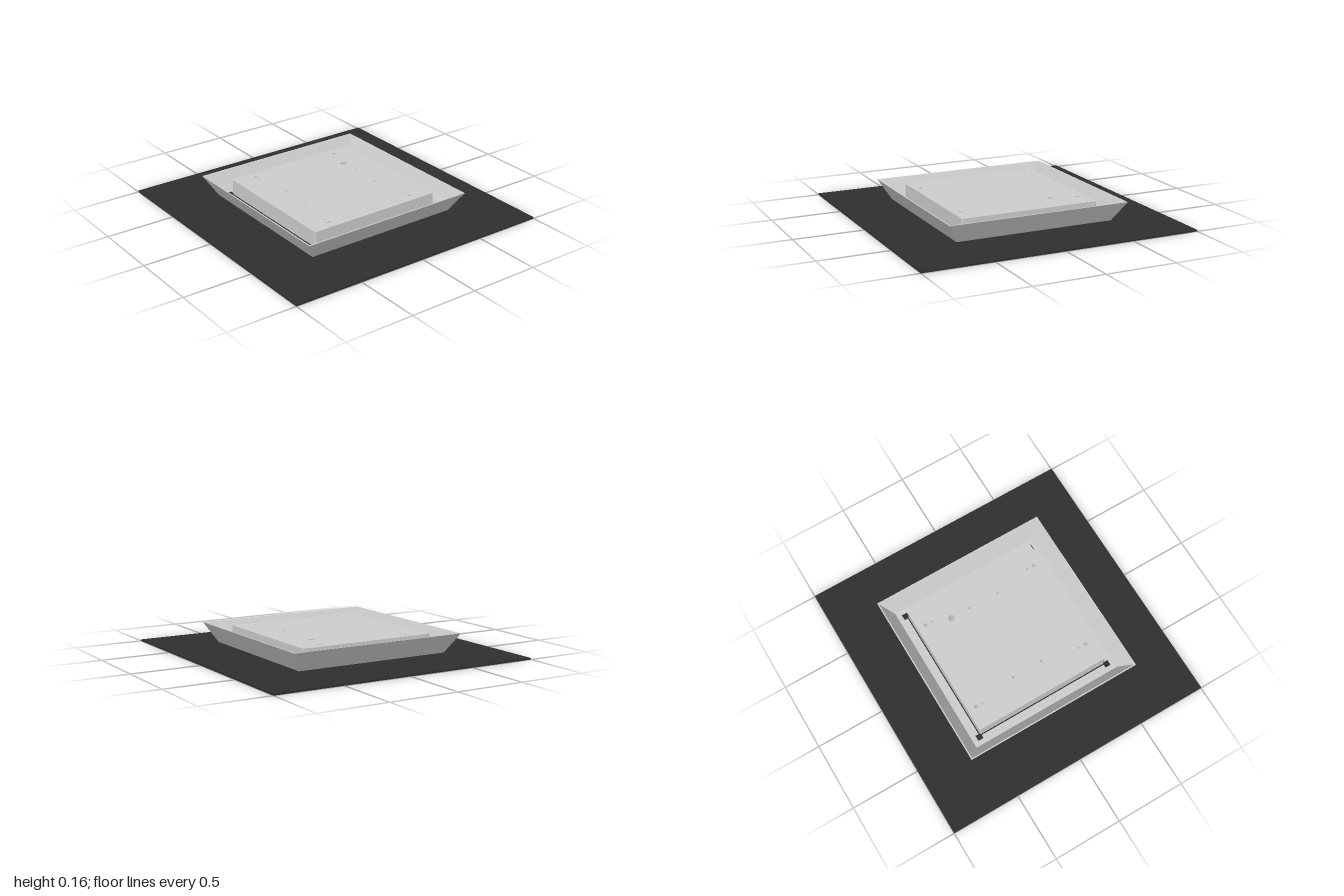
import * as THREE from 'three';

const light = new THREE.MeshStandardMaterial({ color: 0xcccccc });
light.name = 'lightGrey';
const dark = new THREE.MeshStandardMaterial({ color: 0x2e2e2e });
dark.name = 'charcoal';

// Outline of a square, optionally with rounded corners
function square(P, half, r = 0, cx = 0, cz = 0) {
  const p = new P();
  const corners = [[1, -1, 0], [1, 1, 1], [-1, 1, 2], [-1, -1, 3]];
  if (!r) return p.setFromPoints(corners.map(([x, z]) => new THREE.Vector2(cx + x * half, cz + z * half)));
  for (const [x, z, i] of corners) {
    const a = (i - 1) * Math.PI / 2;
    p.absarc(cx + x * (half - r), cz + z * (half - r), r, a, a + Math.PI / 2, false);
  }
  p.closePath();
  return p;
}

// Horizontal slab between two heights, with holes given in (x, -z)
function slab(name, material, half, y0, y1, holes = [], r = 0) {
  const shape = square(THREE.Shape, half, r);
  shape.holes.push(...holes);
  const g = new THREE.ExtrudeGeometry(shape, { depth: y1 - y0, bevelEnabled: false, curveSegments: 6 });
  g.rotateX(-Math.PI / 2).translate(0, y0, 0);
  const m = new THREE.Mesh(g, material);
  m.name = name;
  return m;
}

// Profile swept round a square, with flat sides; distances are half widths
function squareLathe(name, material, profile) {
  const pts = profile.map(([d, y]) => new THREE.Vector2(d * Math.SQRT2, y));
  const g = new THREE.LatheGeometry(pts, 4, Math.PI / 4).toNonIndexed();
  g.computeVertexNormals();
  const m = new THREE.Mesh(g, material);
  m.name = name;
  return m;
}

function drill(x, z, r) {
  const p = new THREE.Path();
  p.absarc(x, -z, r, 0, Math.PI * 2, true);
  return p;
}

export function createModel() {
  const model = new THREE.Group();
  const cells = [];
  for (const x of [-0.11, 0.11]) for (const z of [-0.11, 0.11]) cells.push([x, z]);
  const cellHoles = () => cells.map(([x, z]) => square(THREE.Path, 0.095, 0, x, -z));

  // Ground plate and the stepped plinth
  model.add(slab('basePlate', dark, 1, 0, 0.011, cellHoles()));
  model.add(slab('plinth', dark, 0.55, 0.011, 0.015, cellHoles()));
  model.add(slab('plinthStep', dark, 0.505, 0.015, 0.022, cellHoles()));

  // Square cups opening through the underside
  for (const [x, z] of cells) {
    const cup = squareLathe('undersideCup', light, [[0, 0.05], [0.055, 0.05], [0.082, 0.008], [0.095, 0.001]]);
    cup.position.set(x, 0, z);
    model.add(cup);
  }

  // Flared tray with a thin rim
  model.add(squareLathe('tray', light, [
    [0.5, 0.02], [0.578, 0.02], [0.66, 0.16], [0.651, 0.16], [0.573, 0.03], [0.5, 0.03], [0.5, 0.02],
  ]));
  model.add(slab('traySeat', light, 0.54, 0.03, 0.034, [square(THREE.Path, 0.5)]));

  // Dark seam round the block and dark corner pads
  model.add(slab('seam', dark, 0.513, 0.032, 0.037, [square(THREE.Path, 0.5)], 0.02));
  for (const x of [-1, 1]) for (const z of [-1, 1]) {
    const pad = new THREE.Mesh(new THREE.BoxGeometry(0.04, 0.008, 0.04), dark);
    pad.name = 'cornerPad';
    pad.position.set(x * 0.518, 0.035, z * 0.518);
    model.add(pad);
  }

  // Raised block with drilled holes; its lower layer leaves room for the cups
  const drills = () => {
    const list = [drill(-0.26, -0.3, 0.023)];
    for (const x of [-1, 1]) for (const z of [-1, 1]) {
      list.push(drill(x * 0.443, z * 0.348, 0.014), drill(x * 0.39, z * 0.348, 0.008),
        drill(x * 0.114, z * 0.298, 0.009));
    }
    return list;
  };
  model.add(slab('blockLower', light, 0.506, 0.022, 0.055, [...drills(), square(THREE.Path, 0.22)], 0.012));
  model.add(slab('blockUpper', light, 0.506, 0.055, 0.148, drills(), 0.012));

  return model;
}
